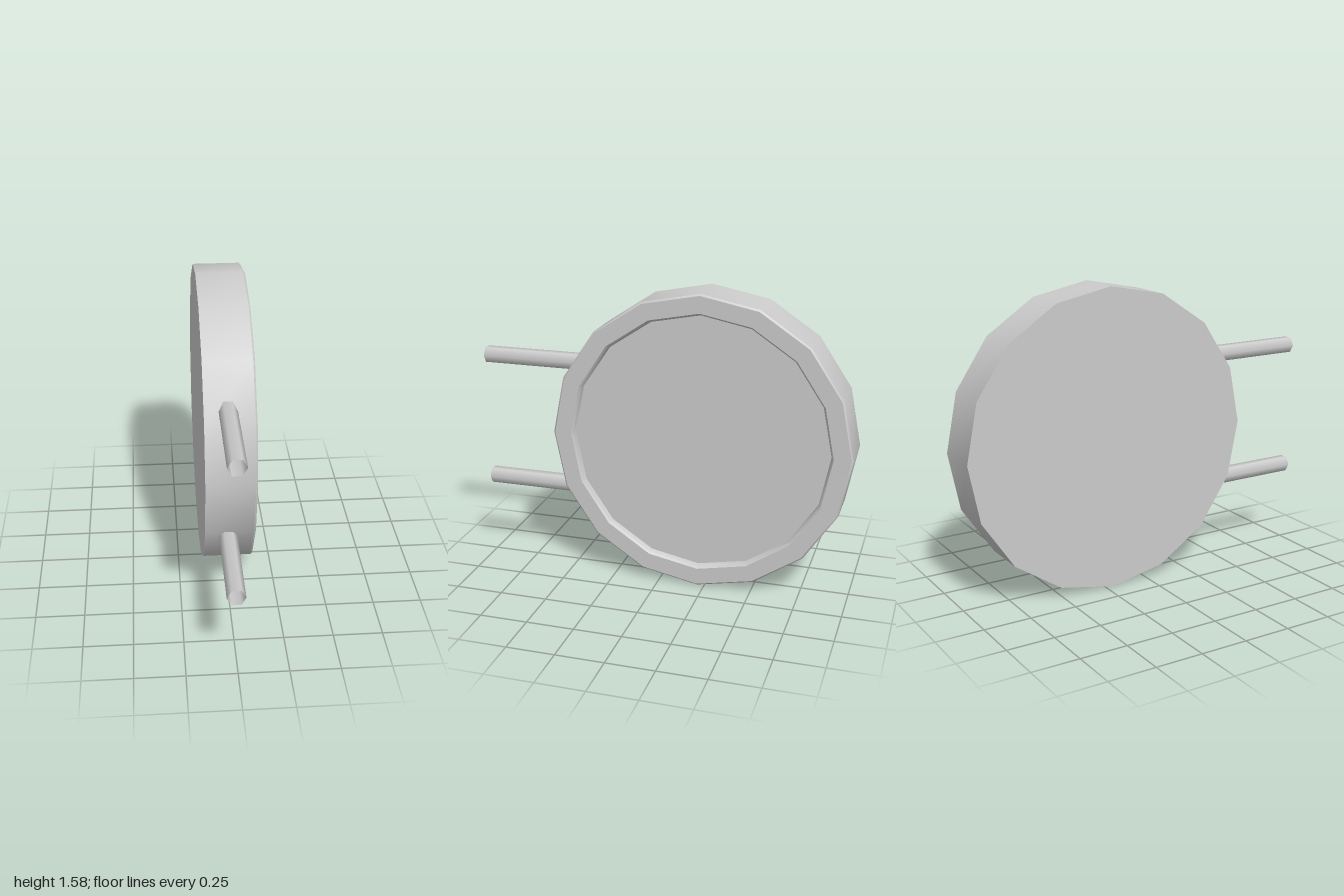
import * as THREE from 'three';
import { toCreasedNormals } from 'three/addons/utils/BufferGeometryUtils.js';

export function createModel() {
  const group = new THREE.Group();
  const material = new THREE.MeshStandardMaterial({ color: 0xcccccc });
  const openMaterial = new THREE.MeshStandardMaterial({ color: 0xcccccc, side: THREE.DoubleSide });

  const radius = 0.788, half = 0.127, centreZ = -0.212;

  // Sixteen-sided drum: flat back, bevelled rim and shallow recessed face
  const profile = [
    [0, -half], [radius, -half],
    [radius, half - 0.009], [radius - 0.009, half],
    [0.691, half], [0.682, half - 0.009],
    [0.675, half - 0.035], [0, half - 0.035],
  ].map(([r, h]) => new THREE.Vector2(r, h));
  const drumGeometry = toCreasedNormals(new THREE.LatheGeometry(profile, 16), Math.PI / 6);
  drumGeometry.rotateZ(-Math.PI / 2); // axis along x, recess facing +x
  const drum = new THREE.Mesh(drumGeometry, material);
  drum.name = 'drum';
  drum.position.set(0, radius, centreZ);
  group.add(drum);

  // Two open hexagonal pipes running forward out of the drum wall
  const start = 0.4, end = 1;
  const pipeGeometry = new THREE.CylinderGeometry(0.046, 0.046, end - start, 6, 1, true, Math.PI / 2);
  pipeGeometry.rotateX(Math.PI / 2);
  for (const [name, y] of [['upperPipe', 1.145], ['lowerPipe', 0.45]]) {
    const pipe = new THREE.Mesh(pipeGeometry, openMaterial);
    pipe.name = name;
    pipe.position.set(-0.01, y, (start + end) / 2);
    group.add(pipe);
  }

  return group;
}
